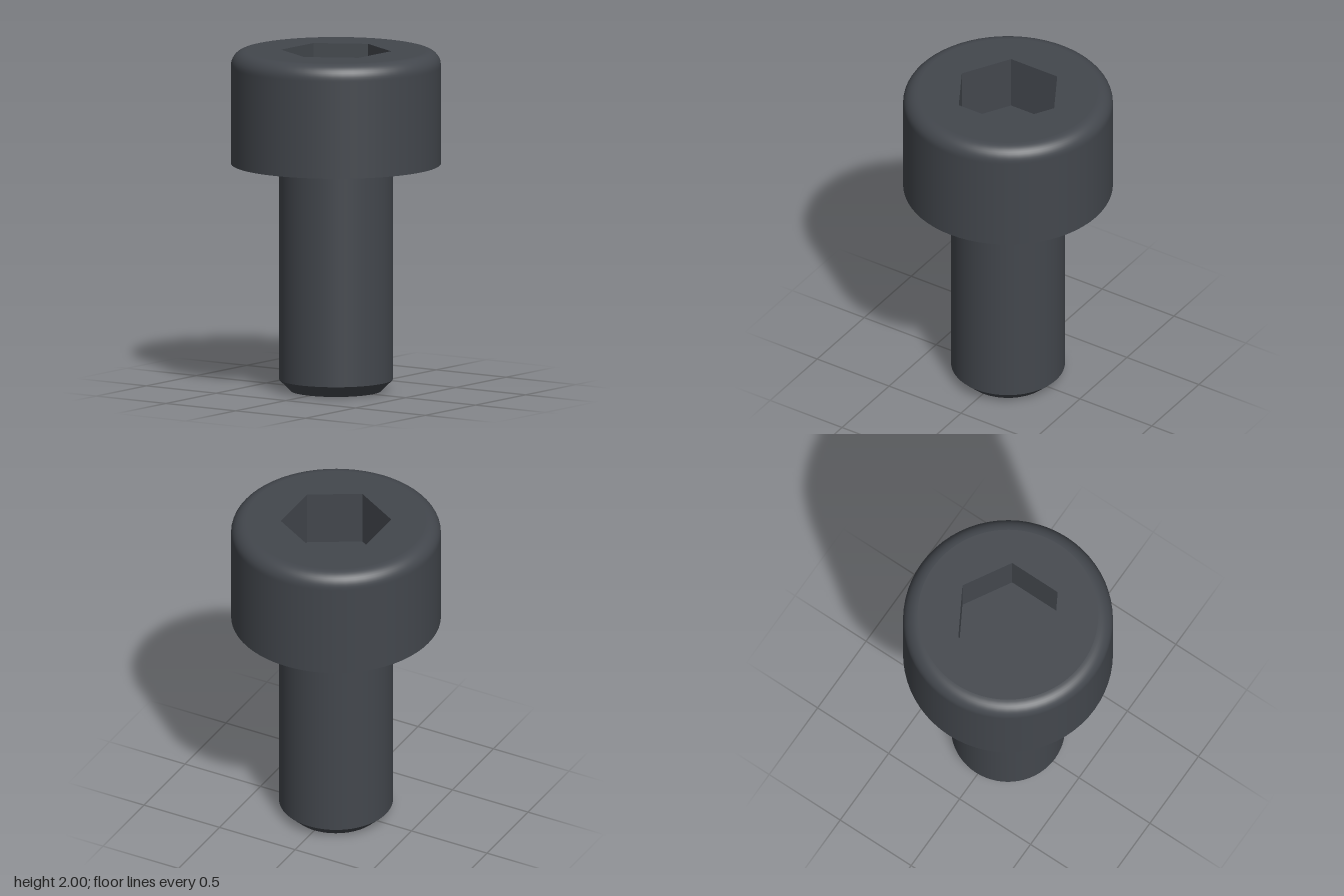
import * as THREE from 'three';

const SEG = 64;
const HEAD_R = 0.611, SHANK_R = 0.332, TIP_R = 0.264;
const HEAD_Y = 1.335, TOP_Y = 2, CHAMFER = 0.067, FILLET = 0.085;
const HEX_R = 0.321, SOCKET_DEPTH = 0.33;

export function createModel() {
  const group = new THREE.Group();
  const steel = new THREE.MeshStandardMaterial({ color: 0x43474d });
  steel.name = 'dark steel';

  const add = (name, geometry, y = 0) => {
    const mesh = new THREE.Mesh(geometry, steel);
    mesh.name = name;
    mesh.position.y = y;
    group.add(mesh);
  };
  const lathe = (points) =>
    new THREE.LatheGeometry(points.map(([r, y]) => new THREE.Vector2(r, y)), SEG);

  // Shank with chamfered tip
  add('shankTip', new THREE.CircleGeometry(TIP_R, SEG).rotateX(Math.PI / 2));
  add('shankChamfer', lathe([[TIP_R, 0], [SHANK_R, CHAMFER]]));
  add('shank', lathe([[SHANK_R, CHAMFER], [SHANK_R, HEAD_Y]]));

  // Head: underside, then wall running into the rounded rim
  add('headUnderside', new THREE.RingGeometry(SHANK_R, HEAD_R, SEG).rotateX(Math.PI / 2), HEAD_Y);
  const rim = [[HEAD_R, HEAD_Y], [HEAD_R, TOP_Y - FILLET - 0.01]];
  for (let i = 0; i <= 10; i++) {
    const a = (i / 10) * Math.PI / 2;
    rim.push([HEAD_R - FILLET + FILLET * Math.cos(a), TOP_Y - FILLET + FILLET * Math.sin(a)]);
  }
  add('headWall', lathe(rim));

  // Flat top with the hexagonal opening
  const top = new THREE.Shape().absarc(0, 0, HEAD_R - FILLET, 0, Math.PI * 2);
  const hex = [];
  for (let i = 0; i < 6; i++) {
    const a = Math.PI / 2 - (i * Math.PI) / 3;
    hex.push(new THREE.Vector2(HEX_R * Math.cos(a), HEX_R * Math.sin(a)));
  }
  top.holes.push(new THREE.Path(hex));
  add('headTop', new THREE.ShapeGeometry(top, SEG).rotateX(-Math.PI / 2), TOP_Y);

  // Socket walls, mirrored so that they face inward, and floor
  const walls = new THREE.CylinderGeometry(HEX_R, HEX_R, SOCKET_DEPTH, 6, 1, true)
    .scale(-1, 1, 1).toNonIndexed();
  walls.computeVertexNormals();
  add('socketWalls', walls, TOP_Y - SOCKET_DEPTH / 2);
  add('socketFloor', new THREE.CircleGeometry(HEX_R, 6, Math.PI / 2).rotateX(-Math.PI / 2),
    TOP_Y - SOCKET_DEPTH);

  return group;
}
